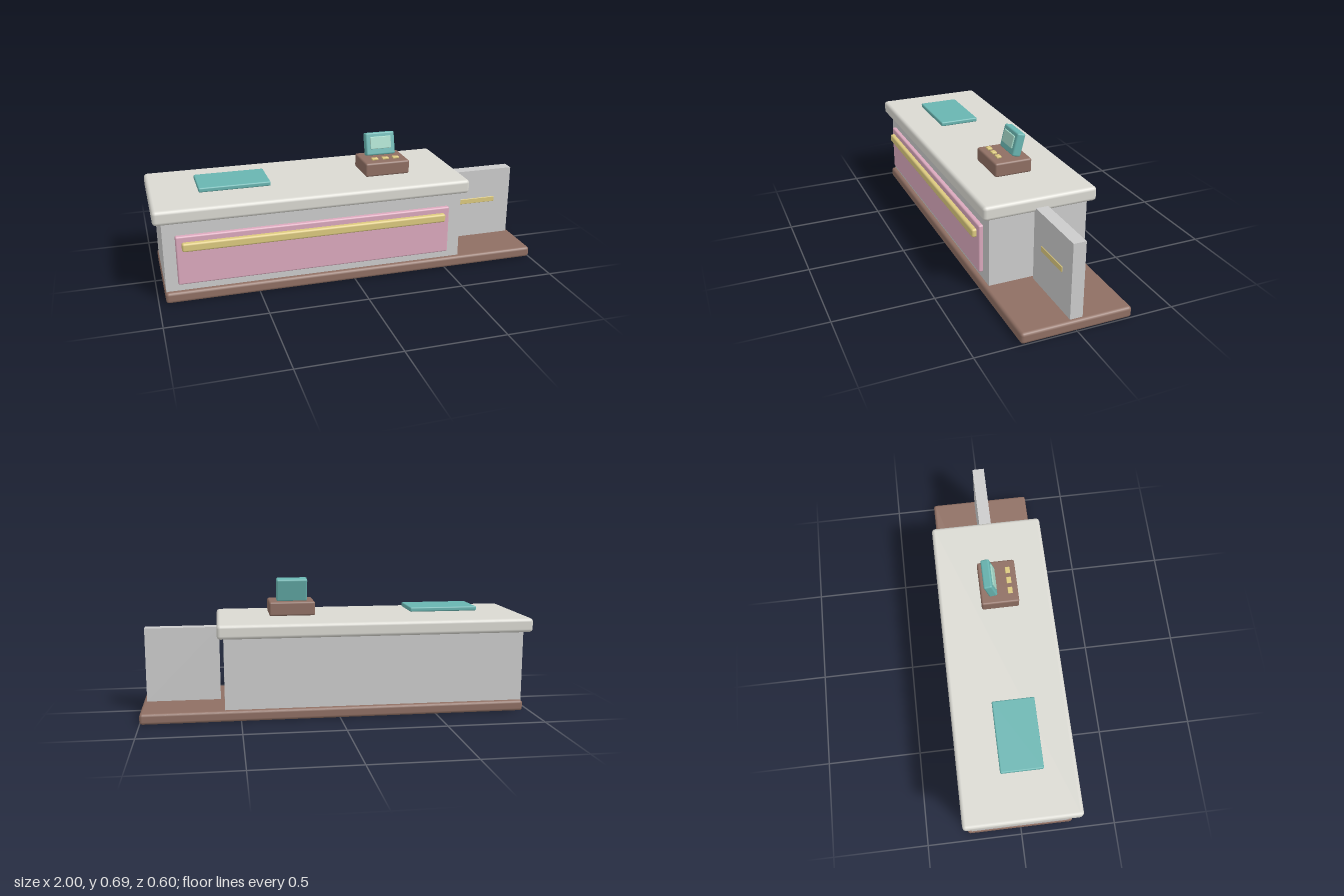
import * as THREE from 'three';
import { RoundedBoxGeometry } from 'three/addons/geometries/RoundedBoxGeometry.js';

const mat = (color) => new THREE.MeshStandardMaterial({ color });

export function createModel() {
  const group = new THREE.Group();
  const grey = mat(0xcccccc), brown = mat(0x8f6f63), cream = mat(0xdad9d2);
  const pink = mat(0xdba9bd), gold = mat(0xdcc97f), teal = mat(0x69b5b1), glass = mat(0xa5d8c8);

  // Box between [min, max] ranges, with an optional bevel
  function block(name, material, [x0, x1], [y0, y1], [z0, z1], bevel = 0, parent = group) {
    const size = [x1 - x0, y1 - y0, z1 - z0];
    const geometry = bevel
      ? new RoundedBoxGeometry(...size, 2, bevel)
      : new THREE.BoxGeometry(...size);
    const mesh = new THREE.Mesh(geometry, material);
    mesh.name = name;
    mesh.position.set((x0 + x1) / 2, (y0 + y1) / 2, (z0 + z1) / 2);
    parent.add(mesh);
    return mesh;
  }

  // Counter
  block('basePlinth', brown, [-0.965, 1], [0, 0.056], [-0.283, 0.276], 0.015);
  block('counterBody', grey, [-0.96, 0.58], [0.05, 0.43], [-0.26, 0.253]);
  block('counterTop', cream, [-1, 0.612], [0.418, 0.491], [-0.297, 0.291], 0.018);
  block('frontPanel', pink, [-0.9, 0.51], [0.095, 0.348], [0.235, 0.275], 0.008);
  block('frontRail', gold, [-0.872, 0.482], [0.274, 0.318], [0.262, 0.298], 0.01);

  // Side gate
  block('gate', grey, [0.6, 0.98], [0.056, 0.441], [-0.035, 0.029]);
  block('gateHandle', gold, [0.68, 0.89], [0.25, 0.279], [0.015, 0.033], 0.003);

  // Counter mat
  block('counterMat', teal, [-0.76, -0.4], [0.506, 0.53], [-0.087, 0.127], 0.007);

  // Register
  block('registerBase', brown, [0.102, 0.341], [0.497, 0.57], [-0.078, 0.117], 0.01);
  for (const x of [0.163, 0.22, 0.277])
    block('registerButton', gold, [x - 0.017, x + 0.017], [0.575, 0.585], [0.063, 0.088], 0.003);

  // Tilted display
  const display = new THREE.Group();
  display.name = 'registerDisplay';
  display.position.set(0.221, 0.63, -0.027);
  display.rotation.x = -0.25;
  block('displayCase', teal, [-0.08, 0.08], [-0.06, 0.06], [-0.0225, 0.0225], 0.009, display);
  block('displayScreen', glass, [-0.057, 0.057], [-0.027, 0.038], [0.015, 0.029], 0.003, display);
  group.add(display);

  return group;
}
